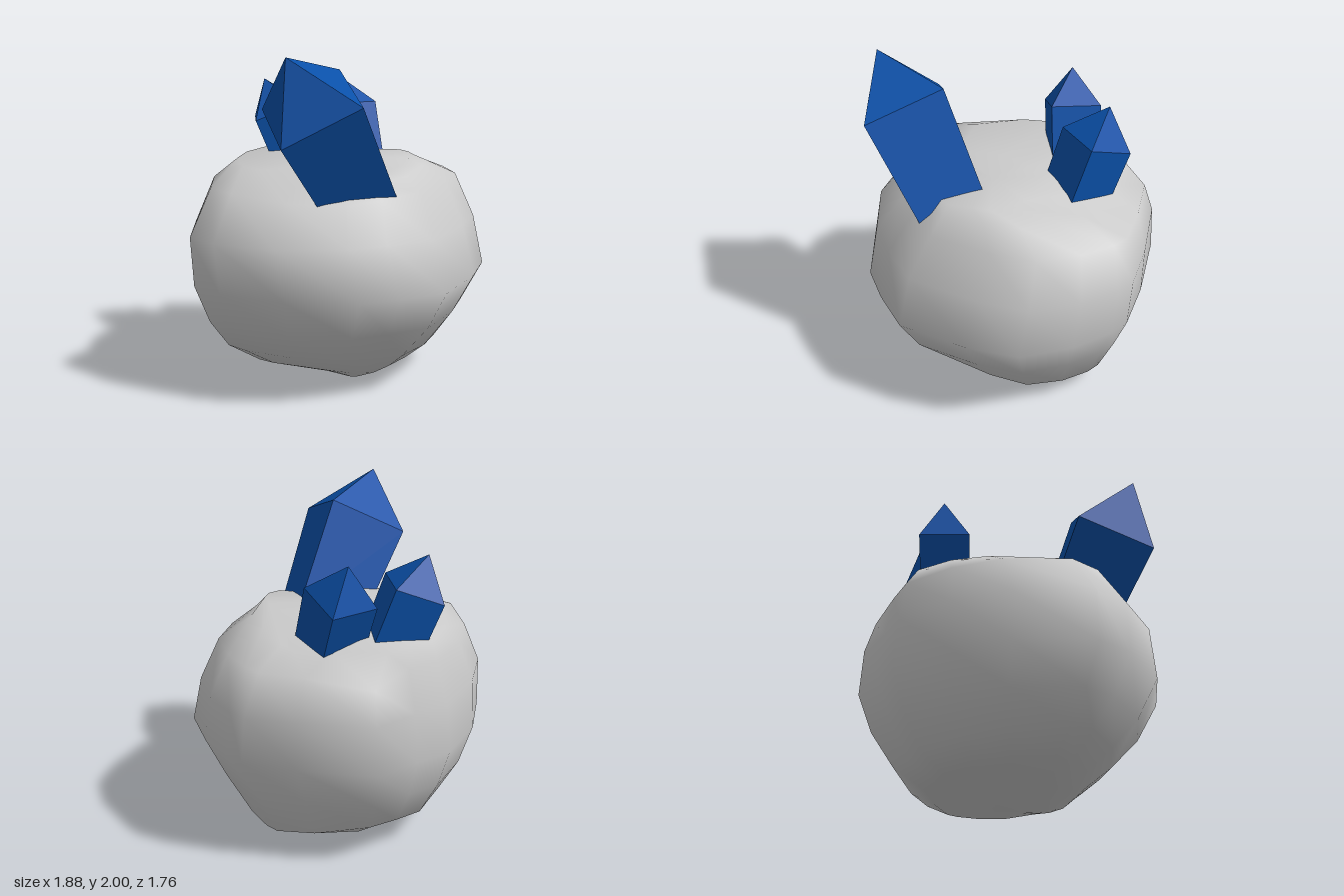
import * as THREE from 'three';

const grey = new THREE.MeshStandardMaterial({ color: 0xcccccc });
const blue = new THREE.MeshStandardMaterial({ color: 0x0a50a8, flatShading: true });

// Plan outline of the boulder at its widest: x, z
const outline = [
  [-0.93, -0.26], [-0.62, -0.61], [-0.3, -0.79], [0.08, -0.88], [0.3, -0.81], [0.58, -0.75],
  [0.81, -0.35], [0.94, -0.05], [0.93, 0.08], [0.85, 0.33], [0.68, 0.6], [0.4, 0.75],
  [-0.02, 0.88], [-0.3, 0.78], [-0.52, 0.67], [-0.8, 0.36], [-0.94, -0.02],
];

// Boulder levels: y, xMin, xMax, zMin, zMax
const levels = [
  [0.0, -0.08, 0.0, 0.14, 0.22],
  [0.05, -0.25, 0.2, -0.14, 0.34],
  [0.105, -0.5, 0.55, -0.5, 0.42],
  [0.2, -0.69, 0.71, -0.67, 0.54],
  [0.42, -0.82, 0.84, -0.8, 0.74],
  [0.66, -0.93, 0.94, -0.88, 0.88],
  [0.95, -0.94, 0.94, -0.85, 0.78],
  [1.21, -0.77, 0.85, -0.79, 0.64],
  [1.31, -0.52, 0.58, -0.73, 0.54],
  [1.37, -0.3, 0.34, -0.1, 0.48],
];

// Dents that make the stone uneven: x, z, rise, spread
const topDents = [
  [0.52, -0.16, -0.06, 0.06], [-0.55, 0.4, -0.06, 0.06], [-0.1, 0.42, -0.06, 0.03], [0.62, -0.68, -0.09, 0.03],
];
const undersideDents = [[0.5, -0.6, 0.06, 0.05], [-0.42, -0.3, -0.03, 0.06]];

function boulderHeight(x, y, z) {
  if (y > 0.3 && y < 1.1) return y;
  const dents = y < 0.3 ? undersideDents : topDents;
  const tilt = y < 0.3 ? 0.085 * x * Math.min(1, y / 0.05) : 0; // underside tilts up to the right
  return Math.max(0, dents.reduce((h, [dx, dz, rise, spread]) =>
    h + rise * Math.exp(-((x - dx) ** 2 + (z - dz) ** 2) / spread), y - tilt));
}

function createBoulder() {
  const n = outline.length, pos = [], index = [];
  for (const [y, x0, x1, z0, z1] of levels) {
    for (const [ox, oz] of outline) {
      const x = (x0 + x1) / 2 + (ox / 0.94) * (x1 - x0) / 2;
      const z = (z0 + z1) / 2 + (oz / 0.88) * (z1 - z0) / 2;
      pos.push(x, boulderHeight(x, y, z), z);
    }
  }
  const last = (levels.length - 1) * n, bottom = levels.length * n, top = bottom + 1;
  pos.push(-0.04, 0, 0.18, 0.02, 1.345, 0.12);
  for (let j = 0; j < n; j++) {
    const k = (j + 1) % n;
    for (let i = 0; i < last; i += n) {
      index.push(i + j, i + n + j, i + n + k, i + j, i + n + k, i + k);
    }
    index.push(bottom, j, k, top, last + k, last + j);
  }
  const geo = new THREE.BufferGeometry();
  geo.setAttribute('position', new THREE.Float32BufferAttribute(pos, 3));
  geo.setIndex(index);
  geo.computeVertexNormals();
  const mesh = new THREE.Mesh(geo, grey);
  mesh.name = 'boulder';
  return mesh;
}

// Four-sided crystal: shoulder centre, offset to the tip, offset to one shoulder corner
function createCrystal(name, centre, tip, corner, length, taper) {
  const axis = new THREE.Vector3(...tip), side = new THREE.Vector3(...corner);
  const height = axis.length(), radius = side.length();
  axis.normalize();
  side.addScaledVector(axis, -side.dot(axis)).normalize();
  const across = new THREE.Vector3().crossVectors(axis, side);

  const shaft = new THREE.Mesh(new THREE.CylinderGeometry(radius, radius * taper, length, 4), blue);
  shaft.position.y = -length / 2;
  shaft.name = name + 'Shaft';
  const point = new THREE.Mesh(new THREE.ConeGeometry(radius, height, 4, 1, true), blue);
  point.position.y = height / 2;
  point.name = name + 'Point';

  const crystal = new THREE.Group();
  crystal.name = name;
  crystal.add(shaft, point);
  crystal.quaternion.setFromRotationMatrix(new THREE.Matrix4().makeBasis(across, axis, side));
  crystal.position.set(...centre);
  return crystal;
}

export function createModel() {
  const model = new THREE.Group();
  model.name = 'crystalBoulder';
  model.add(
    createBoulder(),
    createCrystal('largeCrystal', [-0.525, 1.707, 0.31], [-0.195, 0.293, 0.005], [0.285, 0.195, -0.06], 0.7, 0.82),
    createCrystal('backCrystal', [0.035, 1.57, -0.57], [-0.055, 0.2, -0.055], [0.2, 0.06, -0.025], 0.42, 0.95),
    createCrystal('sideCrystal', [0.415, 1.565, -0.342], [0.025, 0.205, -0.075], [0.18, -0.065, -0.09], 0.4, 0.95),
  );
  return model;
}
